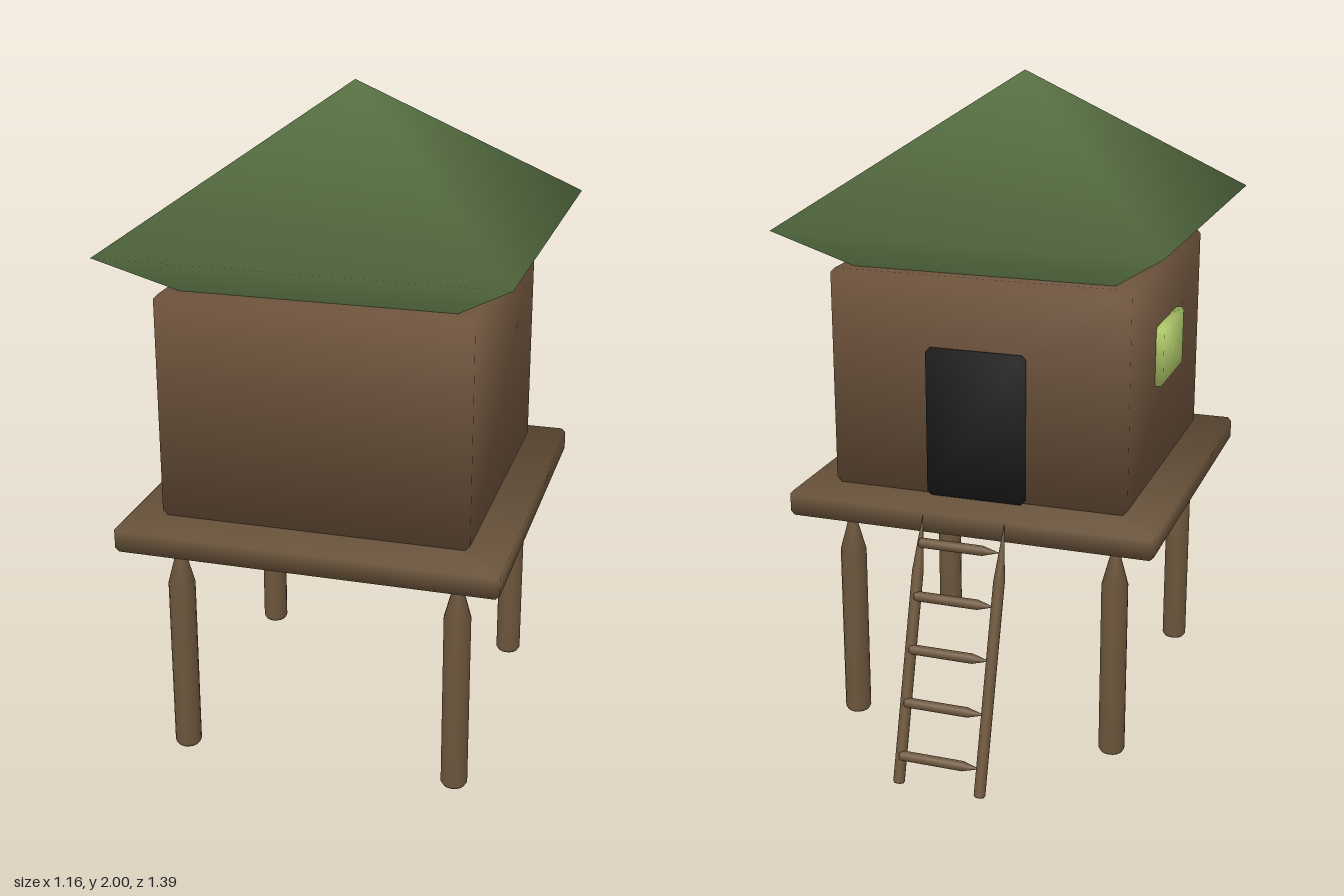
import * as THREE from 'three';
import { mergeVertices } from 'three/addons/utils/BufferGeometryUtils.js';
import { ConvexGeometry } from 'three/addons/geometries/ConvexGeometry.js';

const material = (name, color) => Object.assign(new THREE.MeshStandardMaterial({ color }), { name });

// Box with chamfered edges and soft normals that lean out towards the corners
function softBox(w, h, d, c) {
  const points = [];
  for (const x of [-1, 1]) for (const y of [-1, 1]) for (const z of [-1, 1]) {
    const a = w / 2, b = h / 2, e = d / 2;
    points.push(
      new THREE.Vector3(x * a, y * (b - c), z * (e - c)),
      new THREE.Vector3(x * (a - c), y * b, z * (e - c)),
      new THREE.Vector3(x * (a - c), y * (b - c), z * e));
  }
  const geometry = new ConvexGeometry(points);
  const p = geometry.attributes.position, n = geometry.attributes.normal;
  const s = 1 / Math.sqrt(3);
  for (let i = 0; i < p.count; i++) {
    n.setXYZ(i, Math.sign(p.getX(i)) * s, Math.sign(p.getY(i)) * s, Math.sign(p.getZ(i)) * s);
  }
  return geometry;
}

// Round stake with a bevelled foot and a sharpened tip, running from one point to another
function stake(name, from, to, radius, mat) {
  const a = new THREE.Vector3(...from), b = new THREE.Vector3(...to);
  const length = a.distanceTo(b);
  const profile = [
    [0, 0], [radius * 0.85, 0], [radius, radius * 0.25],
    [radius, length * 0.785], [0, length],
  ].map(([r, y]) => new THREE.Vector2(r, y));
  const mesh = new THREE.Mesh(new THREE.LatheGeometry(profile, 16), mat);
  mesh.name = name;
  mesh.position.copy(a);
  mesh.quaternion.setFromUnitVectors(new THREE.Vector3(0, 1, 0), b.sub(a).normalize());
  return mesh;
}

export function createModel() {
  const model = new THREE.Group();
  model.name = 'stiltHut';
  const wall = material('wall brown', 0x6f543c);
  const wood = material('timber brown', 0x6b543b);
  const green = material('roof green', 0x5a7345);
  const black = material('door black', 0x1c1c1c);
  const lime = material('window lime', 0xb2cc6c);
  const midZ = 0.12;

  const add = (name, geometry, mat, x, y, z) => {
    const mesh = new THREE.Mesh(geometry, mat);
    mesh.name = name;
    mesh.position.set(x, y, z);
    model.add(mesh);
  };

  // Platform and cabin
  add('platform', softBox(1.13, 0.08, 1.13, 0.012), wood, 0, 0.745, midZ + 0.005);
  add('cabin', softBox(0.915, 0.67, 0.915, 0.014), wall, 0, 1.122, midZ + 0.005);

  // Roof: a smooth double pyramid whose lower half sinks into the cabin
  const octahedron = new THREE.OctahedronGeometry(1);
  octahedron.deleteAttribute('normal');
  octahedron.deleteAttribute('uv');
  const roof = mergeVertices(octahedron);
  roof.rotateY(Math.PI / 4);
  roof.scale(0.578 * Math.SQRT2, 0.415, 0.578 * Math.SQRT2);
  roof.computeVertexNormals();
  add('roof', roof, green, 0, 1.585, midZ);

  // Door at the back, window on the right side
  add('door', softBox(0.305, 0.455, 0.04, 0.012), black, 0, 1.018, -0.336);
  add('window', softBox(0.04, 0.185, 0.275, 0.008), lime, -0.46, 1.182, midZ);

  // Stilts
  for (const x of [-0.42, 0.42]) for (const z of [-0.3, 0.54]) {
    model.add(stake('stilt', [x, 0.01, z], [x, 0.71, z], 0.04, wood));
  }

  // Leaning ladder
  const ladder = new THREE.Group();
  ladder.name = 'ladder';
  for (const x of [-0.126, 0.126]) {
    ladder.add(stake('ladderRail', [x, 0.005, -0.676], [x, 0.775, -0.447], 0.017, wood));
  }
  for (let i = 0; i < 5; i++) {
    const y = 0.087 + i * 0.151, z = -0.66 + i * 0.0455;
    ladder.add(stake('ladderRung', [0.126, y, z], [-0.122, y, z], 0.015, wood));
  }
  model.add(ladder);
  return model;
}
